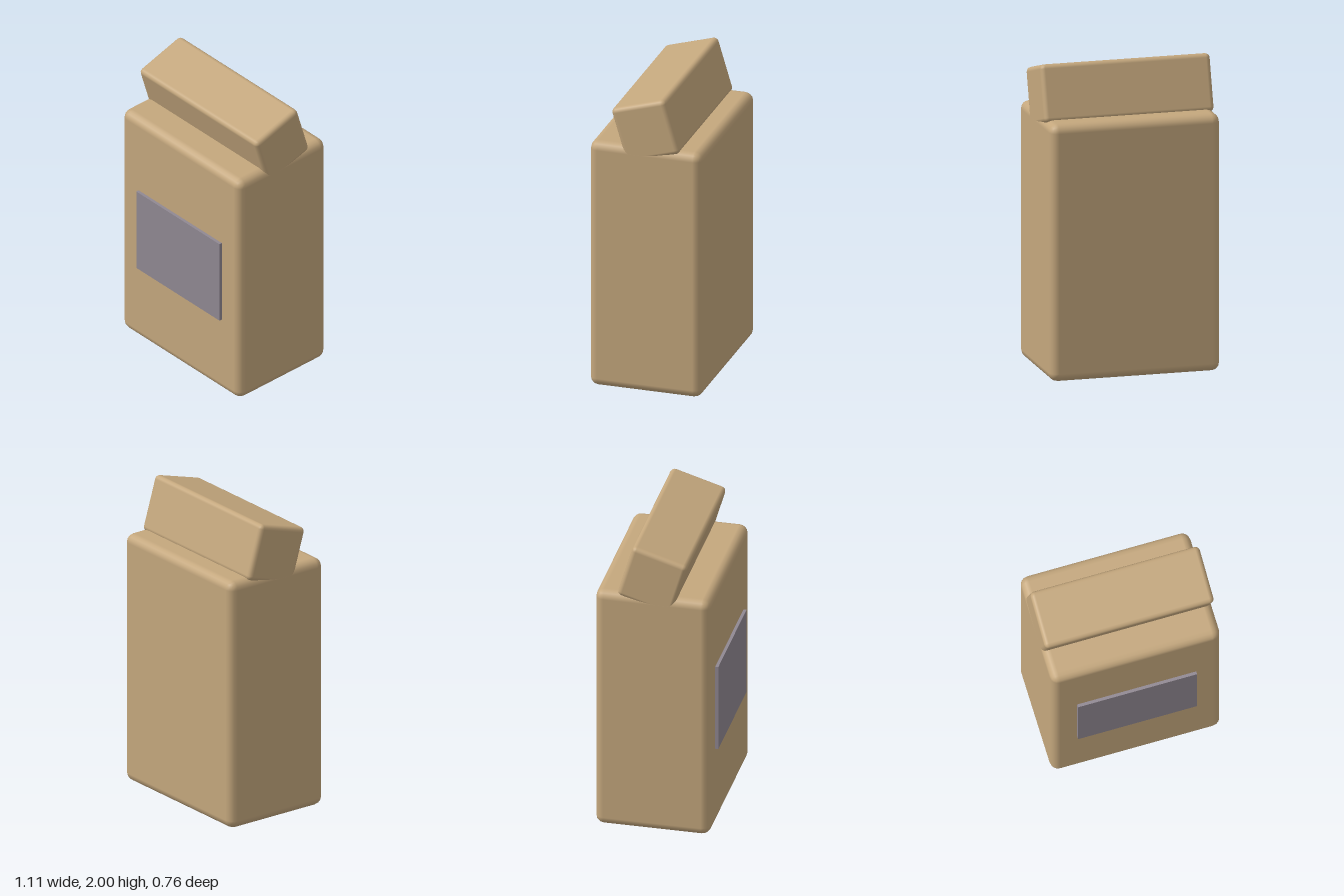
import * as THREE from 'three';
import { RoundedBoxGeometry } from 'three/addons/geometries/RoundedBoxGeometry.js';

export function createModel() {
  const model = new THREE.Group();
  model.name = 'carton';

  const cardboard = new THREE.MeshStandardMaterial({ color: 0xc4a77d });
  cardboard.name = 'tan cardboard';
  const labelGrey = new THREE.MeshStandardMaterial({ color: 0x908892 });
  labelGrey.name = 'grey label';

  function add(name, geometry, material, x, y, z) {
    const mesh = new THREE.Mesh(geometry, material);
    mesh.name = name;
    mesh.position.set(x, y, z);
    model.add(mesh);
    return mesh;
  }

  // Tall rounded body
  add('body', new RoundedBoxGeometry(1.11, 1.665, 0.74, 2, 0.055), cardboard, 0, 0.8325, -0.01);

  // Folded top, tipped forward and sunk into the body
  const fold = add('foldedTop', new RoundedBoxGeometry(1.109, 0.369, 0.369, 2, 0.03), cardboard, 0, 1.7775, -0.0115);
  fold.rotation.x = 0.29;

  // Label plate on the front, its back set into the body
  add('label', new THREE.BoxGeometry(0.78, 0.585, 0.04), labelGrey, 0, 0.8375, 0.36);

  return model;
}
